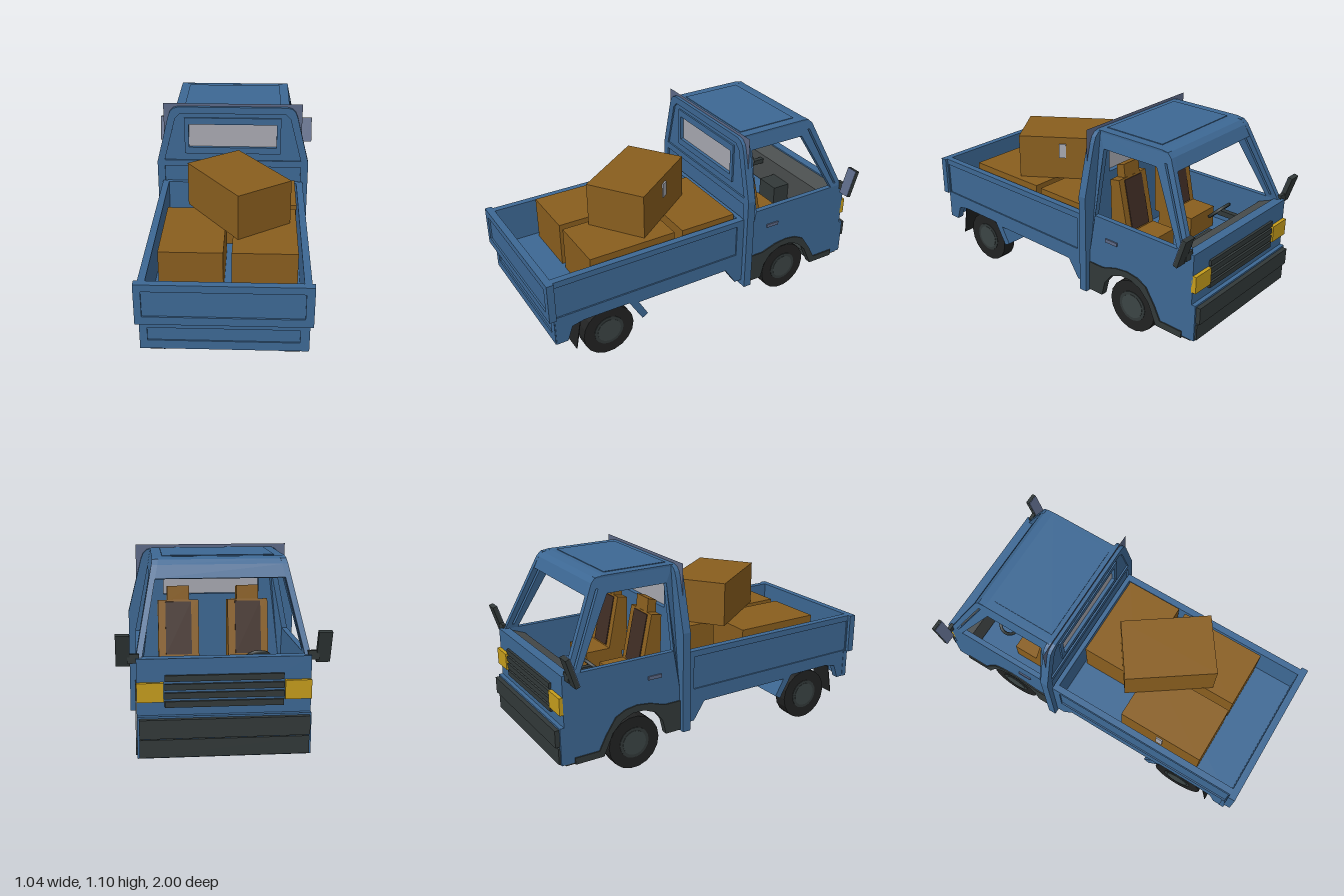
import * as THREE from 'three';

const mat = (name, color) => {
  const m = new THREE.MeshStandardMaterial({ color });
  m.name = name;
  return m;
};

export function createModel() {
  const truck = new THREE.Group();
  truck.name = 'pickupTruck';
  const blue = mat('bodyBlue', 0x3d6894);
  const brown = mat('cardboardBrown', 0x895e1e);
  const seatBrown = mat('seatDarkBrown', 0x3f2c24);
  const rubber = mat('tyreBlack', 0x212222);
  const hubGrey = mat('hubGrey', 0x3b4444);
  const trim = mat('trimDarkGrey', 0x323939);
  const dashGrey = mat('dashGrey', 0x4a4e4e);
  const yellow = mat('headlightYellow', 0xc69d1c);
  const mirrorGrey = mat('mirrorBlueGrey', 0x5c6987);
  const glass = mat('windowGrey', 0xa8a9b1);
  mirrorGrey.side = glass.side = THREE.DoubleSide;

  const add = (name, geo, material, parent = truck) => {
    const m = new THREE.Mesh(geo, material);
    m.name = name;
    parent.add(m);
    return m;
  };
  // box from its low and high corner
  const box = (name, material, [x0, y0, z0], [x1, y1, z1], parent = truck) => {
    const m = add(name, new THREE.BoxGeometry(x1 - x0, y1 - y0, z1 - z0), material, parent);
    m.position.set((x0 + x1) / 2, (y0 + y1) / 2, (z0 + z1) / 2);
    return m;
  };
  const shapeOf = (pts, holes = []) => {
    const s = new THREE.Shape(pts.map(p => new THREE.Vector2(...p)));
    holes.forEach(h => s.holes.push(new THREE.Path(h.map(p => new THREE.Vector2(...p)))));
    return s;
  };
  const extrude = (shape, depth) => new THREE.ExtrudeGeometry(shape, { depth, bevelEnabled: false });
  // (z, y) outline pushed from x0 to x1
  const sideways = (pts, x0, x1, holes) =>
    extrude(shapeOf(pts, holes), x1 - x0).rotateY(-Math.PI / 2).translate(x1, 0, 0);
  // (x, y) outline pushed from z0 to z1
  const across = (pts, z0, z1, holes) => extrude(shapeOf(pts, holes), z1 - z0).translate(0, 0, z0);
  const rect = (a0, b0, a1, b1) => [[a0, b0], [a1, b0], [a1, b1], [a0, b1]];
  const mirrored = half => [...half, ...half.map(([x, y]) => [-x, y]).reverse()];
  const span = (s, a, b) => (s > 0 ? [a, b] : [-b, -a]);
  const flatCylinder = (r, len, n) => {
    const g = new THREE.CylinderGeometry(r, r, len, n).rotateZ(Math.PI / 2).toNonIndexed();
    g.computeVertexNormals();
    return g;
  };
  // cab sides lean inwards above the belt line
  const lean = (geo, s) => {
    const p = geo.attributes.position;
    for (let i = 0; i < p.count; i++)
      p.setX(i, p.getX(i) - s * 0.2 * Math.max(0, p.getY(i) - 0.63));
    geo.computeVertexNormals();
    return geo;
  };

  // ---- cab sides, wheel arch trim, door handles, mirrors
  const cabSide = [[-0.25, 0.335], [-0.36, 0.335], [-0.45, 0.36], [-0.53, 0.37], [-0.6, 0.36], [-0.66, 0.33],
    [-0.72, 0.24], [-0.76, 0.165], [-0.95, 0.165], [-0.95, 0.62], [-0.925, 0.63], [-0.73, 1.05],
    [-0.705, 1.075], [-0.66, 1.081], [-0.25, 1.081], [-0.25, 0.63]];
  const doorWindow = [[-0.3, 0.63], [-0.3, 0.99], [-0.65, 0.99], [-0.85, 0.63]];
  const pillarSlit = [[-0.695, 1.02], [-0.708, 1.02], [-0.885, 0.65], [-0.872, 0.65]];
  const archTrim = [[-0.26, 0.16], [-0.26, 0.335], [-0.36, 0.335], [-0.45, 0.365], [-0.53, 0.375], [-0.6, 0.365],
    [-0.66, 0.335], [-0.72, 0.245], [-0.76, 0.168], [-0.9, 0.168], [-0.9, 0.13], [-0.735, 0.13],
    [-0.68, 0.25], [-0.62, 0.31], [-0.56, 0.335], [-0.49, 0.335], [-0.42, 0.305], [-0.375, 0.245], [-0.355, 0.16]];
  for (const s of [1, -1]) {
    add('cabSide', lean(sideways(cabSide, ...span(s, 0.395, 0.425), [doorWindow, pillarSlit]), s), blue);
    add('wheelArchTrim', sideways(archTrim, ...span(s, 0.395, 0.432)), trim);
    const [h0, h1] = span(s, 0.425, 0.433);
    box('doorHandle', mirrorGrey, [h0, 0.5, -0.46], [h1, 0.52, -0.38]);
    const mirror = new THREE.Group();
    mirror.name = 'wingMirror';
    mirror.position.set(s * 0.487, 0.67, -0.93);
    mirror.rotation.x = -0.3;
    truck.add(mirror);
    box('mirrorShell', trim, [-0.034, -0.08, -0.015], [0.034, 0.085, 0.008], mirror);
    box('mirrorFace', mirrorGrey, [-0.033, -0.078, 0.008], [0.033, 0.083, 0.012], mirror);
    const [a0, a1] = span(s, 0.41, 0.465);
    box('mirrorArm', trim, [a0, 0.605, -0.935], [a1, 0.65, -0.915]);
  }

  // ---- roof with raised panel and front header
  add('roof', sideways([[-0.25, 1.045], [-0.25, 1.081], [-0.66, 1.081], [-0.705, 1.073], [-0.73, 1.05],
    [-0.757, 0.985], [-0.74, 0.98], [-0.695, 1.045]], -0.337, 0.337), blue);
  box('roofPanel', blue, [-0.285, 1.075, -0.63], [0.285, 1.085, -0.265]);

  // ---- cab back wall with window
  const wall = mirrored([[0.46, 0.155], [0.46, 0.73], [0.388, 1.02], [0.375, 1.053], [0.355, 1.073], [0.325, 1.081]]);
  const windowHole = rect(-0.265, 0.825, 0.265, 0.972);
  add('cabBackWall', across(wall, -0.262, -0.225, [windowHole]), blue);
  add('backWallRim', across(wall, -0.225, -0.215,
    [mirrored([[0.415, 0.2], [0.415, 0.74], [0.345, 1.01], [0.315, 1.04]])]), blue);
  box('backWallBand', blue, [-0.415, 0.7, -0.226], [0.415, 0.74, -0.215]);
  add('windowSurround', across(rect(-0.29, 0.785, 0.29, 1.013), -0.226, -0.215, [windowHole]), blue);
  // flat pane sheet set inside the wall
  add('rearWindow', new THREE.ShapeGeometry(shapeOf(windowHole)), glass).position.z = -0.235;
  add('rearScreenPlate', new THREE.ShapeGeometry(shapeOf(rect(-0.415, 0.8, 0.415, 1.098), [windowHole])),
    mirrorGrey).position.z = -0.235;

  // ---- front panel, grille, lights, bumper
  box('frontPanel', blue, [-0.425, 0.15, -0.952], [0.425, 0.63, -0.9]);
  for (let i = 0; i < 4; i++)
    box('grilleSlat', trim, [-0.29, 0.39 + i * 0.043, -0.966], [0.29, 0.42 + i * 0.043, -0.95]);
  for (const s of [1, -1]) {
    const [x0, x1] = span(s, 0.295, 0.425);
    box('headlight', yellow, [x0, 0.42, -0.972], [x1, 0.515, -0.945]);
  }
  box('bumperCore', blue, [-0.425, 0.14, -0.975], [0.425, 0.35, -0.9]);
  box('bumperUpper', trim, [-0.415, 0.245, -1], [0.415, 0.34, -0.97]);
  box('bumperLower', trim, [-0.415, 0.145, -0.985], [0.415, 0.235, -0.97]);
  box('frontUnderTray', trim, [-0.42, 0.13, -0.95], [0.42, 0.16, -0.75]);

  // ---- cab interior
  box('cabFloor', blue, [-0.4, 0.365, -0.9], [0.4, 0.385, -0.26]);
  add('dashboard', sideways([[-0.91, 0.4], [-0.91, 0.625], [-0.81, 0.585], [-0.81, 0.4]], -0.395, 0.395), dashGrey);
  box('centreConsole', trim, [-0.07, 0.38, -0.82], [0.08, 0.5, -0.7]);
  box('steeringColumn', trim, [-0.22, 0.53, -0.82], [-0.19, 0.56, -0.67]);
  const steeringWheel = add('steeringWheel', new THREE.TorusGeometry(0.065, 0.01, 6, 16), trim);
  steeringWheel.position.set(-0.205, 0.55, -0.67);
  steeringWheel.rotation.x = -0.8;
  for (const s of [1, -1]) {
    const seat = new THREE.Group();
    seat.name = 'seat';
    seat.position.x = s * 0.19;
    truck.add(seat);
    box('seatCushion', brown, [-0.11, 0.385, -0.57], [0.11, 0.51, -0.34], seat);
    add('seatBack', sideways([[-0.31, 0.48], [-0.3, 0.8], [-0.36, 0.81], [-0.43, 0.48]], -0.11, 0.11), brown, seat);
    add('seatBackPanel', sideways([[-0.42, 0.52], [-0.358, 0.8], [-0.366, 0.8], [-0.428, 0.52]],
      -0.07, 0.07), seatBrown, seat);
    add('headrest', sideways([[-0.305, 0.79], [-0.3, 0.87], [-0.35, 0.885], [-0.36, 0.8]], -0.06, 0.06), brown, seat);
  }

  // ---- cargo bed
  const bedSide = [[-0.215, 0.19], [-0.215, 0.605], [0.965, 0.605], [0.965, 0.21], [0.9, 0.21], [0.87, 0.295],
    [0.8, 0.31], [0.53, 0.31], [0.5, 0.295], [-0.1, 0.295], [-0.17, 0.19]];
  for (const s of [1, -1]) {
    add('bedSide', sideways(bedSide, ...span(s, 0.39, 0.42)), blue);
    add('bedSideRim', sideways(bedSide, ...span(s, 0.42, 0.428), [rect(-0.17, 0.38, 0.955, 0.57)]), blue);
  }
  box('bedFloor', blue, [-0.4, 0.34, -0.215], [0.4, 0.375, 0.96]);
  box('bedFrontWall', blue, [-0.4, 0.3, -0.217], [0.4, 0.605, -0.19]);
  box('tailgate', blue, [-0.447, 0.375, 0.96], [0.443, 0.605, 0.99]);
  add('tailgateRim', across(rect(-0.447, 0.375, 0.443, 0.605), 0.99, 1, [rect(-0.41, 0.42, 0.4, 0.565)]), blue);
  box('rearPanel', blue, [-0.43, 0.21, 0.94], [0.425, 0.375, 0.962]);
  add('rearPanelRim', across(rect(-0.43, 0.21, 0.425, 0.375), 0.962, 0.97, [rect(-0.39, 0.26, 0.38, 0.335)]), blue);
  add('crossGuard', sideways([[0.53, 0.31], [0.48, 0.31], [0.415, 0.195], [0.45, 0.175]], -0.425, 0.425), blue);

  // ---- wheels, axles, mud flaps
  for (const z of [-0.545, 0.645]) {
    add('axle', flatCylinder(0.06, 0.66, 20), trim).position.set(0, 0.15, z);
    for (const s of [1, -1]) {
      const wheel = new THREE.Group();
      wheel.name = 'wheel';
      wheel.position.set(s * 0.365 - 0.009, 0.152, z);
      truck.add(wheel);
      add('tyre', flatCylinder(0.152, 0.08, 18), rubber, wheel);
      add('hubRing', flatCylinder(0.088, 0.086, 18), trim, wheel);
      add('hub', flatCylinder(0.07, 0.09, 18), hubGrey, wheel);
    }
  }
  for (const s of [1, -1])
    add('mudFlap', sideways([[0.818, 0.3], [0.822, 0.3], [0.853, 0.125], [0.849, 0.125]], ...span(s, 0.284, 0.424)),
      rubber).position.x = -0.005;

  // ---- cardboard boxes
  box('frontCrate', brown, [-0.13, 0.375, -0.175], [0.378, 0.63, 0.165]);
  box('leftCrate', brown, [-0.355, 0.375, 0.21], [-0.017, 0.63, 0.722]);
  box('rightCrate', brown, [0.027, 0.375, 0.21], [0.37, 0.63, 0.722]);
  box('leftCrateLabel', glass, [-0.363, 0.5, 0.445], [-0.355, 0.59, 0.485]);
  const top = new THREE.Group();
  top.name = 'topCrate';
  top.position.set(0.048, 0.63, 0.27);
  top.rotation.y = 0.615;
  truck.add(top);
  box('crate', brown, [-0.172, 0, -0.255], [0.172, 0.255, 0.255], top);
  box('crateLabel', glass, [0.172, 0.13, -0.02], [0.18, 0.215, 0.02], top);

  return truck;
}
